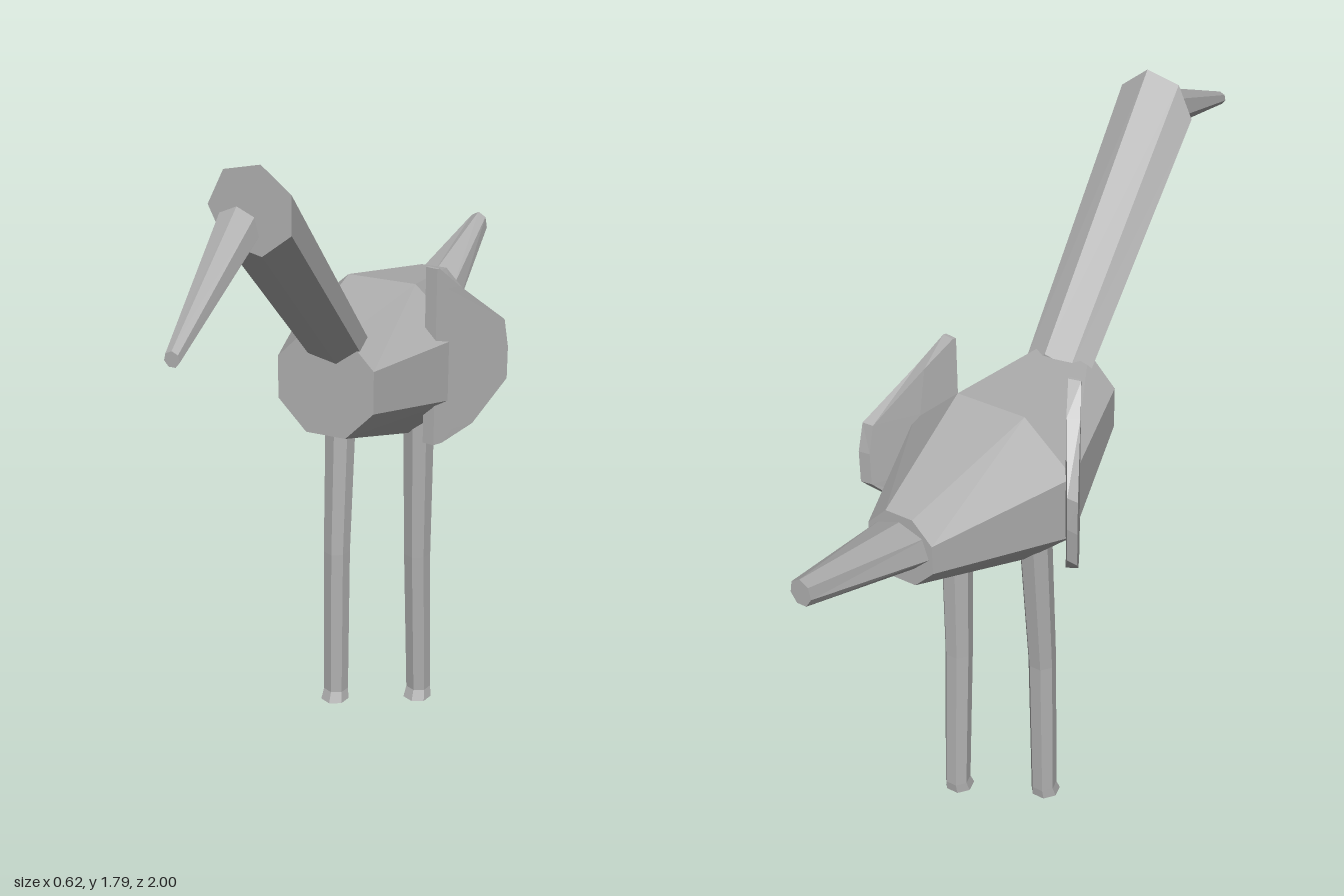
import * as THREE from 'three';

const plumage = new THREE.MeshStandardMaterial({ color: 0xb0b0b0, flatShading: true });
plumage.name = 'plain grey';

// Closed, faceted skin through a list of equal-sized rings of [x, y, z] points.
function loft(name, rings) {
  const tris = [];
  const n = rings[0].length;
  for (let r = 0; r < rings.length - 1; r++) {
    for (let i = 0; i < n; i++) {
      const j = (i + 1) % n;
      const a = rings[r][i], b = rings[r][j], c = rings[r + 1][j], d = rings[r + 1][i];
      tris.push([a, b, c], [a, c, d]);
    }
  }
  const first = rings[0], last = rings[rings.length - 1];
  for (let i = 1; i < n - 1; i++) {
    tris.push([first[0], first[i + 1], first[i]], [last[0], last[i], last[i + 1]]);
  }
  // The signed volume tells whether the corners must be reversed to face outwards.
  let volume = 0;
  for (const [a, b, c] of tris) {
    volume += new THREE.Vector3(...a).dot(new THREE.Vector3(...b).cross(new THREE.Vector3(...c)));
  }
  if (volume < 0) tris.forEach((t) => t.reverse());
  const geometry = new THREE.BufferGeometry();
  geometry.setAttribute('position', new THREE.Float32BufferAttribute(tris.flat(2), 3));
  geometry.computeVertexNormals();
  const mesh = new THREE.Mesh(geometry, plumage);
  mesh.name = name;
  return mesh;
}

// Ring of n corners in the xy plane, starting at the given angle in degrees.
function uprightRing(n, start, x, y, z, rx, ry = rx) {
  return Array.from({ length: n }, (_, i) => {
    const a = THREE.MathUtils.degToRad(start + (i * 360) / n);
    return [x + rx * Math.cos(a), y + ry * Math.sin(a), z];
  });
}

// Ring of seven corners lying flat, for the legs.
function flatRing(x, y, z, r) {
  return uprightRing(7, 90, x, z, 0, r).map(([px, pz]) => [px, y, pz]);
}

// Point on a three-point polyline of [x, z] at t from 0 to 1.
function along(line, t) {
  const k = t < 0.5 ? 0 : 1;
  const f = t * 2 - k;
  return [0, 1].map((c) => line[k][c] + (line[k + 1][c] - line[k][c]) * f);
}

// Curved wing plate: rows of [y, reach], sliced horizontally.
function wing(name, side) {
  const outer = [[0.19, -0.18], [0.237, -0.26], [0.312, -0.392]];
  const inner = [[0.158, -0.185], [0.21, -0.28], [0.282, -0.388]];
  const rows = [[1.345, 0.04], [1.285, 0.4], [1.16, 0.95], [1.08, 1], [0.99, 1], [0.89, 0.62], [0.86, 0.15]];
  return loft(name, rows.map(([y, reach]) => {
    const steps = [0, 0.5, 1].map((t) => t * reach);
    const path = [
      ...steps.map((t) => along(outer, t)),
      ...steps.reverse().map((t) => along(inner, t)),
    ];
    return path.map(([x, z]) => [side * x, y, z]);
  }));
}

export function createModel() {
  const bird = new THREE.Group();
  bird.name = 'bird';

  // Eight-sided body, widest in the middle
  const k = 1 / Math.cos(Math.PI / 8);
  bird.add(loft('body', [
    uprightRing(8, 22.5, 0, 1.098, 0.08, 0.13 * k, 0.137 * k),
    uprightRing(8, 22.5, 0, 1.05, -0.275, 0.228 * k, 0.21 * k),
    uprightRing(8, 22.5, 0, 1.083, -0.65, 0.088 * k, 0.093 * k),
  ]));

  // Slanting neck with an upright cut end
  bird.add(loft('neck', [
    uprightRing(7, 77, 0.005, 1.165, 0, 0.087, 0.083),
    uprightRing(7, 77, 0.032, 1.685, 0.53, 0.106),
  ]));

  // Beak, set a little ahead of the neck and turned aside
  bird.add(loft('beak', [
    uprightRing(7, 90, 0.035, 1.665, 0.605, 0.053, 0.05),
    uprightRing(7, 90, 0.088, 1.522, 1, 0.018),
  ]));

  // Rising tail
  bird.add(loft('tail', [
    uprightRing(7, 90, 0, 1.085, -0.62, 0.084, 0.065),
    uprightRing(7, 90, 0, 1.195, -1, 0.028, 0.036),
  ]));

  for (const [side, label] of [[1, 'left'], [-1, 'right']]) {
    bird.add(wing(label + 'Wing', side));

    // Leg: foot, ankle, knee and hip, with the left leg a step behind
    const [foot, knee, hip] = side > 0 ? [-0.315, -0.297, -0.283] : [-0.208, -0.22, -0.255];
    bird.add(loft(label + 'Leg', [
      flatRing(side * 0.105, 0, foot, 0.04),
      flatRing(side * 0.105, 0.03, foot - 0.008, 0.035),
      flatRing(side * 0.104, 0.47, knee, 0.037),
      flatRing(side * 0.106, 0.95, hip, 0.043),
    ]));
  }
  return bird;
}
